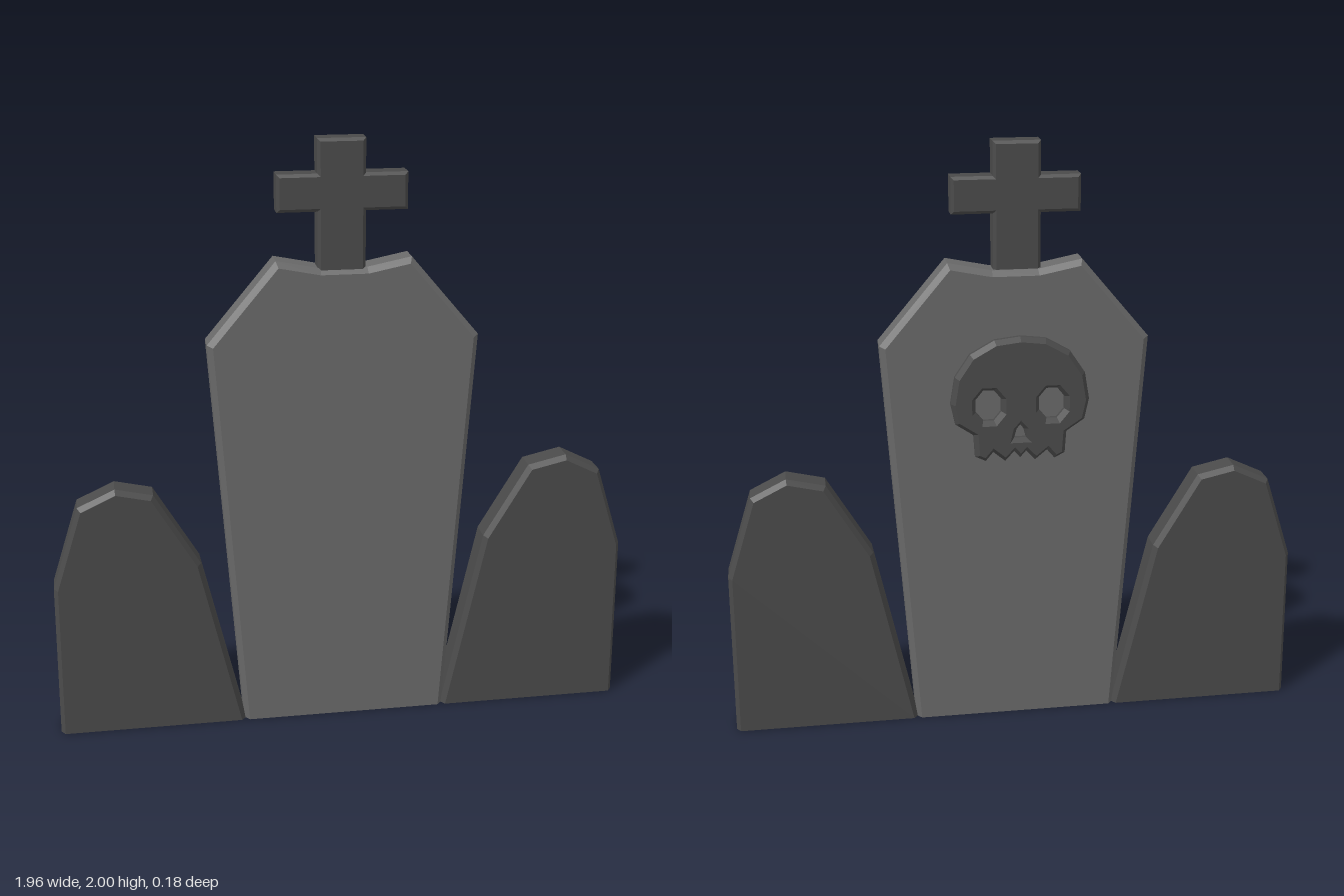
import * as THREE from 'three';

const lightStone = new THREE.MeshStandardMaterial({ name: 'lightStone', color: 0x696969 });
const darkStone = new THREE.MeshStandardMaterial({ name: 'darkStone', color: 0x4a4a4a });

const toPoints = (list) => list.map(([x, y]) => new THREE.Vector2(x, y));

// Chamfered slab: the outline is its widest section, spanning z0 to z1
function slab(name, outline, z0, z1, size, thickness, material, holes = []) {
  const shape = new THREE.Shape(toPoints(outline));
  for (const hole of holes) shape.holes.push(new THREE.Path(toPoints(hole)));
  const geometry = new THREE.ExtrudeGeometry(shape, {
    depth: z1 - z0 - 2 * thickness,
    bevelEnabled: true,
    bevelSegments: 1,
    bevelSize: size,
    bevelOffset: -size,
    bevelThickness: thickness,
  });
  geometry.translate(0, 0, z0 + thickness);
  // Keep the chamfer off the ground edge
  const p = geometry.attributes.position;
  for (let i = 0; i < p.count; i++) if (p.getY(i) < 0.04) p.setY(i, 0);
  geometry.computeVertexNormals();
  const mesh = new THREE.Mesh(geometry, material);
  mesh.name = name;
  return mesh;
}

// Elongated polygon used for the eye sockets
function oval(cx, cy, rx, ry, sides) {
  return Array.from({ length: sides }, (_, i) => {
    const a = ((i + 0.5) / sides) * Math.PI * 2;
    return [cx + rx * Math.cos(a), cy + ry * Math.sin(a)];
  });
}

export function createModel() {
  const group = new THREE.Group();
  group.name = 'gravestones';
  const back = -0.03, front = 0.088;

  // Coffin-shaped central stone with a dipped top
  const half = [[0.35, 0], [0.445, 1.35], [0.22, 1.617], [0.075, 1.588]];
  const mirrored = half.map(([x, y]) => [-x, y]).reverse();
  group.add(slab('coffinStone', [...half, ...mirrored], back, front, 0.018, 0.02, lightStone));

  // Rounded side stones, the one at +x slightly taller
  group.add(slab('leftStone', [
    [0.345, 0], [0.975, 0], [0.972, 0.57], [0.885, 0.85],
    [0.765, 0.91], [0.635, 0.88], [0.485, 0.63],
  ], back, front, 0.014, 0.02, darkStone));
  group.add(slab('rightStone', [
    [-0.345, 0], [-0.485, 0.595], [-0.635, 0.848], [-0.76, 0.876],
    [-0.885, 0.818], [-0.975, 0.535], [-0.98, 0],
  ], back, front, 0.014, 0.02, darkStone));

  // Cross on top
  group.add(slab('cross', [
    [-0.085, 1.56], [0.07, 1.56], [0.07, 1.77], [0.205, 1.77], [0.205, 1.89], [0.07, 1.89],
    [0.07, 2], [-0.085, 2], [-0.085, 1.89], [-0.215, 1.89], [-0.215, 1.77], [-0.085, 1.77],
  ], -0.005, 0.074, 0.01, 0.008, darkStone));

  // Skull relief on the back, with see-through sockets and a row of teeth
  const cx = -0.008;
  const skullHalf = [
    [0, 1.38], [0.085, 1.37], [0.165, 1.325], [0.215, 1.25], [0.23, 1.16], [0.215, 1.09],
    [0.155, 1.05], [0.15, 0.975], [0.115, 0.958], [0.09, 0.988], [0.05, 0.955], [0.02, 0.988],
  ];
  const skull = [
    ...skullHalf.map(([x, y]) => [cx + x, y]),
    [cx, 0.965],
    ...skullHalf.slice(1).reverse().map(([x, y]) => [cx - x, y]),
  ];
  const sockets = [
    oval(cx + 0.105, 1.15, 0.046, 0.056, 8),
    oval(cx - 0.105, 1.15, 0.046, 0.056, 8),
    [[cx - 0.02, 1.035], [cx + 0.02, 1.035], [cx + 0.012, 1.065], [cx, 1.08], [cx - 0.012, 1.065]],
  ];
  group.add(slab('skull', skull, -0.088, back, 0.014, 0.022, darkStone, sockets));

  return group;
}
